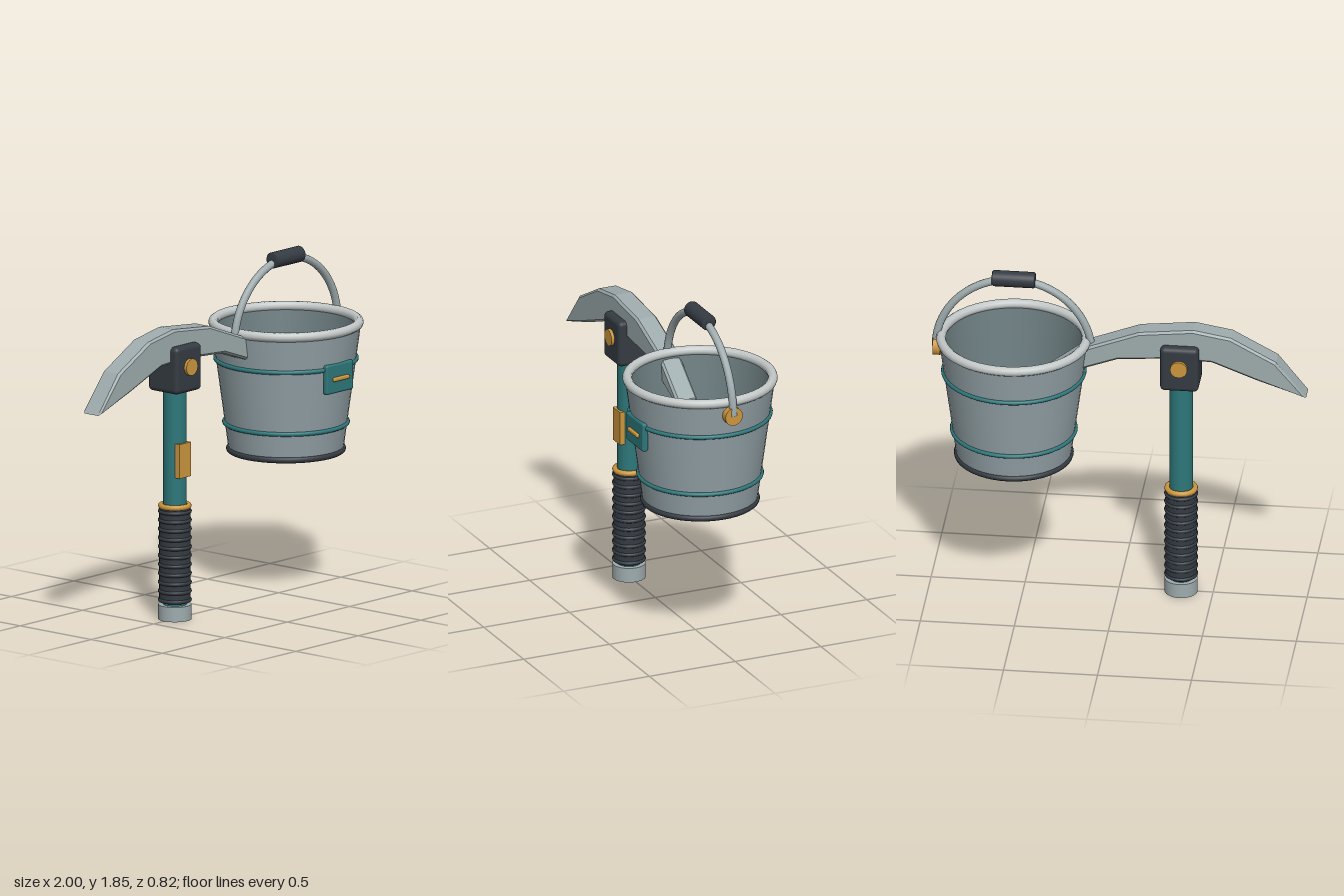
import * as THREE from 'three';
import { RoundedBoxGeometry } from 'three/addons/geometries/RoundedBoxGeometry.js';

const mat = (name, color, side = THREE.FrontSide) => {
  const m = new THREE.MeshStandardMaterial({ color, side });
  m.name = name;
  return m;
};

export function createModel() {
  const blade = mat('blade steel', 0x9eabad);
  const bucketSteel = mat('bucket steel', 0x93a2a7);
  const inside = mat('bucket inside', 0x6c7d80);
  const rimSteel = mat('pale rim steel', 0xc3c9c8);
  const teal = mat('teal paint', 0x2d777a);
  const rubber = mat('dark rubber', 0x343b42);
  const brass = mat('brass', 0xcc963c);

  const model = new THREE.Group();
  model.name = 'pickaxeAndBucket';

  const add = (parent, name, geo, material, x = 0, y = 0, z = 0) => {
    const mesh = new THREE.Mesh(geo, material);
    mesh.name = name;
    mesh.position.set(x, y, z);
    parent.add(mesh);
    return mesh;
  };
  const cyl = (r, h, seg = 32) => new THREE.CylinderGeometry(r, r, h, seg);
  const ring = (r, tube, seg = 48) => new THREE.TorusGeometry(r, tube, 10, seg).rotateX(Math.PI / 2);
  const lathe = (pts) => new THREE.LatheGeometry(pts.map(([r, y]) => new THREE.Vector2(r, y)), 48);

  // ---- Pickaxe, centred on its shaft ----
  const pick = new THREE.Group();
  pick.name = 'pickaxe';
  pick.position.x = -0.33;
  model.add(pick);

  add(pick, 'shaft', cyl(0.062, 1.24), teal, 0, 0.66, 0);
  add(pick, 'endCap', cyl(0.088, 0.08), blade, 0, 0.04, 0);
  add(pick, 'grip', cyl(0.083, 0.51), rubber, 0, 0.35, 0);
  for (let i = 0; i < 11; i++) {
    add(pick, 'gripRidge', ring(0.079, 0.011, 32), rubber, 0, 0.105 + i * 0.048, 0);
  }
  add(pick, 'gripCollar', ring(0.074, 0.015, 32), brass, 0, 0.614, 0);
  add(pick, 'shaftBadge', new THREE.BoxGeometry(0.092, 0.185, 0.03), brass, 0, 0.868, 0.058);

  // Head block with a bolt on each face
  add(pick, 'headBlock', new RoundedBoxGeometry(0.205, 0.255, 0.21, 3, 0.025), rubber, 0, 1.367, 0);
  for (const s of [1, -1]) {
    add(pick, 'headBolt', cyl(0.046, 0.03, 16).rotateX(Math.PI / 2), brass, 0, 1.38, s * 0.107);
  }

  // Curved blade with chamfered edges
  const outline = [
    [-1, 1.218], [-0.73, 1.31], [-0.5, 1.4], [-0.3, 1.41], [0, 1.39], [0.18, 1.325], [0.4, 1.235],
    [0.4, 1.275], [0.17, 1.45], [-0.11, 1.555], [-0.4, 1.585], [-0.6, 1.55], [-0.84, 1.42],
  ];
  const bladeGeo = new THREE.ExtrudeGeometry(
    new THREE.Shape(outline.map(([x, y]) => new THREE.Vector2(x + 0.33, y))),
    { depth: 0.096, bevelEnabled: true, bevelSize: 0.012, bevelThickness: 0.012, bevelOffset: -0.012, bevelSegments: 1 },
  );
  add(pick, 'pickBlade', bladeGeo, blade, 0, 0, -0.048);

  // ---- Bucket, centred on its own axis ----
  const bucket = new THREE.Group();
  bucket.name = 'bucket';
  bucket.position.x = 0.56;
  model.add(bucket);

  add(bucket, 'bucketWall', lathe([[0.303, 0.765], [0.398, 1.46]]), bucketSteel);
  add(bucket, 'bucketLining', lathe([[0.37, 1.46], [0.275, 0.8]]), inside);
  add(bucket, 'bucketFloor', new THREE.CircleGeometry(0.278, 48).rotateX(-Math.PI / 2), inside, 0, 0.8, 0);
  add(bucket, 'bucketBase', new THREE.CircleGeometry(0.306, 48).rotateX(Math.PI / 2), bucketSteel, 0, 0.76, 0);
  add(bucket, 'baseRing', ring(0.3, 0.017), rubber, 0, 0.775, 0);
  add(bucket, 'rim', ring(0.385, 0.026), rimSteel, 0, 1.458, 0);
  for (const [y, r] of [[0.92, 0.326], [1.264, 0.373]]) {
    add(bucket, 'band', ring(r, 0.012), teal, 0, y, 0);
  }

  // Front latch plate with a small pull bar
  add(bucket, 'latchPlate', new RoundedBoxGeometry(0.215, 0.16, 0.034, 2, 0.012), teal, 0, 1.212, 0.367);
  add(bucket, 'latchPull', new RoundedBoxGeometry(0.125, 0.022, 0.022, 2, 0.008), brass, 0, 1.21, 0.387);

  // Carrying handle, its grip and its pivots
  add(bucket, 'handle', new THREE.TorusGeometry(0.415, 0.021, 12, 48, Math.PI), blade, 0, 1.39, 0);
  const gripProfile = [[0, -0.115], [0.036, -0.115], [0.043, -0.107], [0.043, 0.107], [0.036, 0.115], [0, 0.115]];
  add(bucket, 'handleGrip', lathe(gripProfile).rotateZ(Math.PI / 2), rubber, 0, 1.808, 0);
  for (const s of [1, -1]) {
    add(bucket, 'handlePivot', cyl(0.05, 0.04, 24).rotateZ(Math.PI / 2), brass, s * 0.408, 1.388, 0);
  }

  return model;
}
